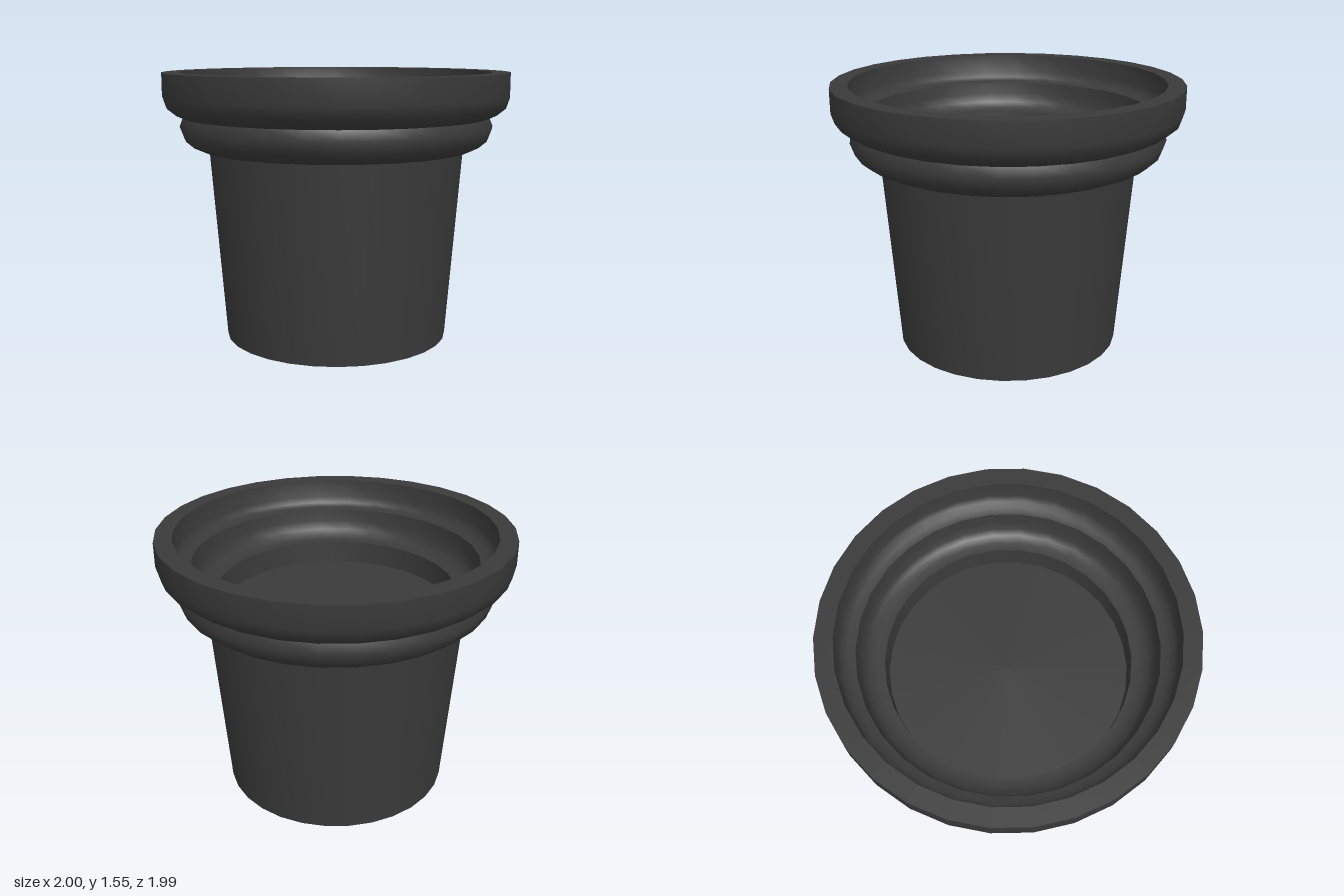
import * as THREE from 'three';
import { toCreasedNormals } from 'three/addons/utils/BufferGeometryUtils.js';

const SIDES = 30;

export function createModel() {
  const group = new THREE.Group();
  group.name = 'flowerPot';
  const material = new THREE.MeshStandardMaterial({ color: 0x3a3a3a });

  // Turn a profile of [radius, height] pairs; sharp corners stay sharp
  function turn(name, profile) {
    const points = profile.map(([r, y]) => new THREE.Vector2(r, y));
    const lathe = new THREE.LatheGeometry(points, SIDES, Math.PI / 2);
    const mesh = new THREE.Mesh(toCreasedNormals(lathe, 0.75), material);
    mesh.name = name;
    group.add(mesh);
  }

  // Closed base and tapered wall
  turn('body', [[0, 0], [0.655, 0], [0.74, 1.115]]);

  // Outside of the two rounded bands and the flat rim
  turn('lowerBand', [
    [0.74, 1.115], [0.785, 1.115], [0.835, 1.137], [0.88, 1.175],
    [0.906, 1.245], [0.885, 1.3],
  ]);
  turn('upperBand', [
    [0.885, 1.3], [0.93, 1.32], [0.98, 1.36], [1, 1.42], [1, 1.555], [0.9, 1.555],
  ]);

  // Stepped inside, following the bands down to the floor
  turn('upperStep', [
    [0.9, 1.555], [0.895, 1.45], [0.88, 1.415], [0.85, 1.398], [0.81, 1.39],
  ]);
  turn('lowerStep', [
    [0.81, 1.39], [0.803, 1.32], [0.79, 1.265], [0.765, 1.235], [0.72, 1.222], [0.676, 1.22],
  ]);
  turn('innerWall', [[0.676, 1.22], [0.666, 1.09]]);
  turn('floor', [[0.666, 1.09], [0, 1.09]]);

  return group;
}
